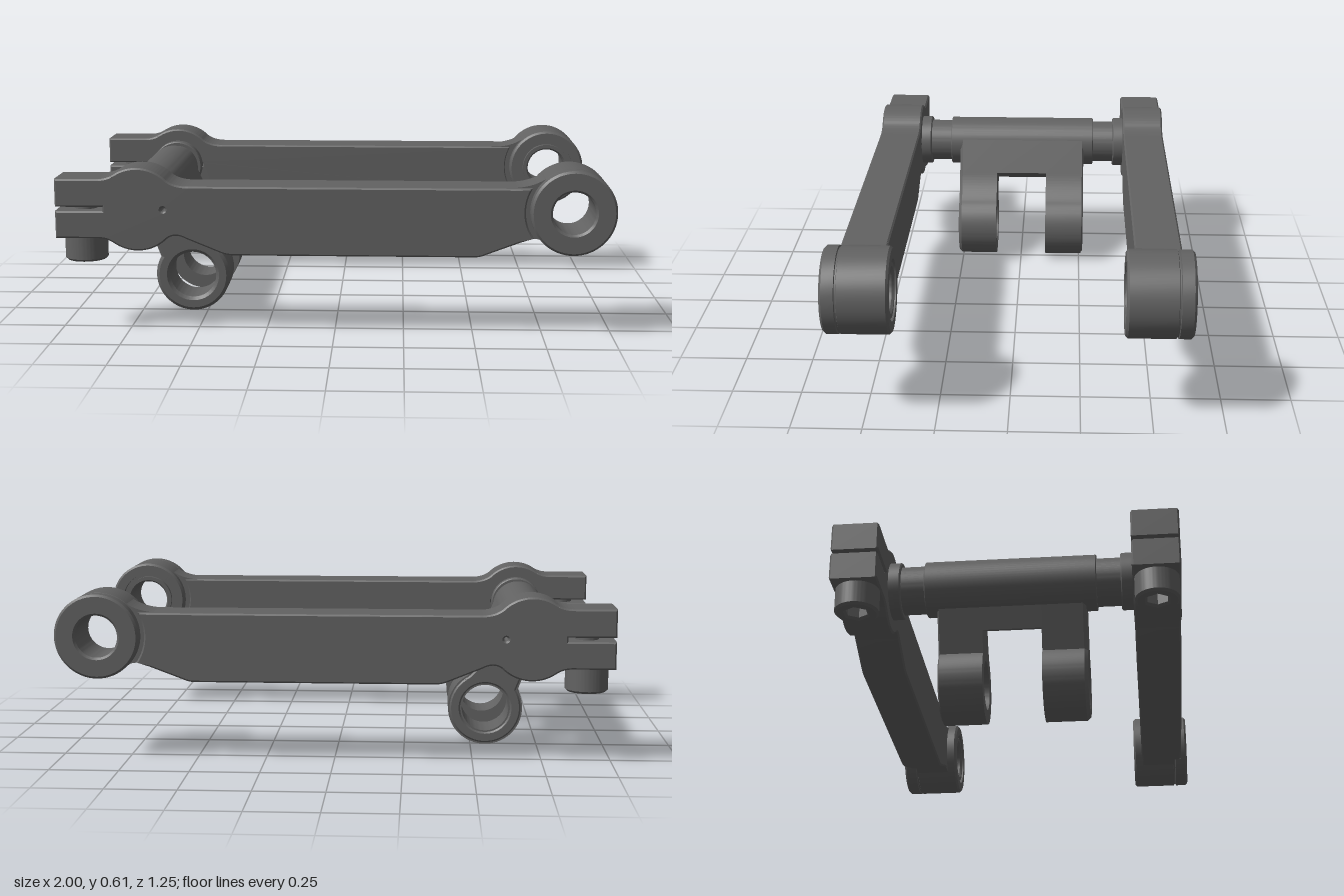
import * as THREE from 'three';
import { toCreasedNormals } from 'three/addons/utils/BufferGeometryUtils.js';

const material = new THREE.MeshStandardMaterial({ color: 0x626262 });
const rad = THREE.MathUtils.degToRad;

function part(name, geometry) {
  const mesh = new THREE.Mesh(toCreasedNormals(geometry, 0.35), material);
  mesh.name = name;
  return mesh;
}

// Plate with an xy outline, filling z0..z1 including its bevel
function plate(shape, z0, z1, bevel = 0) {
  const g = new THREE.ExtrudeGeometry(shape, {
    depth: z1 - z0 - 2 * bevel, curveSegments: 40, bevelEnabled: bevel > 0,
    bevelSize: bevel, bevelThickness: bevel, bevelOffset: -bevel, bevelSegments: 1,
  });
  return g.translate(0, 0, z0 + bevel);
}

// Turned part around a z axis; points are [radius, distance towards side s]
function turned(points, x, y, s = 1) {
  const g = new THREE.LatheGeometry(points.map(([r, d]) => new THREE.Vector2(r, d)), 64);
  return g.rotateX(s * Math.PI / 2).translate(x, y, 0);
}

// Hole for a clockwise outline
function hole(x, y, r) {
  return new THREE.Path().absarc(x, y, r, 0, Math.PI * 2, false);
}

const PX = -0.705, PY = 0.456; // pivot shaft axis
const EX = 0.847, EY = 0.457;  // end bushing axis
const ARM_Z = 0.515;           // arm centre plane

// Arm with split clamp, pivot boss and a hollow end seating the bushing
function armShape() {
  const s = new THREE.Shape();
  s.moveTo(-1, 0.464);
  s.lineTo(-1, 0.565);
  s.lineTo(-0.85, 0.565);
  s.quadraticCurveTo(-0.815, 0.565, -0.791, 0.579);
  s.absarc(PX, PY, 0.15, rad(125), rad(45), true);
  s.quadraticCurveTo(-0.57, 0.54, -0.52, 0.54);
  s.lineTo(0.66, 0.54);
  s.absarc(EX, EY, 0.168, rad(150.4), rad(215), false);
  s.lineTo(0.66, 0.345);
  s.lineTo(0.54, 0.3);
  s.quadraticCurveTo(0.52, 0.291, 0.5, 0.291);
  s.lineTo(-0.36, 0.291);
  s.quadraticCurveTo(-0.385, 0.291, -0.41, 0.301);
  s.lineTo(-0.53, 0.35);
  s.quadraticCurveTo(-0.57, 0.372, -0.599, 0.35);
  s.absarc(PX, PY, 0.15, rad(-45), rad(-125), true);
  s.quadraticCurveTo(-0.815, 0.35, -0.85, 0.35);
  s.lineTo(-1, 0.35);
  s.lineTo(-1, 0.449);
  s.lineTo(-0.83, 0.449);
  s.lineTo(-0.83, 0.464);
  s.holes.push(hole(-0.612, PY, 0.008));
  return s;
}

// Neck flaring into the bushing
function neckShape() {
  const s = new THREE.Shape();
  s.moveTo(0.62, 0.336);
  s.lineTo(0.62, 0.539);
  s.quadraticCurveTo(0.7, 0.538, 0.752, 0.574);
  s.lineTo(0.752, 0.343);
  s.quadraticCurveTo(0.72, 0.366, 0.66, 0.347);
  return s;
}

function clampBolt(z) {
  const bolt = new THREE.Group();
  bolt.name = 'clampBolt';
  const head = new THREE.Shape().absarc(0, 0, 0.077, 0, Math.PI * 2);
  const socket = new THREE.Path();
  for (let i = 0; i < 6; i++) {
    const a = -i * Math.PI / 3;
    socket[i ? 'lineTo' : 'moveTo'](0.04 * Math.cos(a), 0.04 * Math.sin(a));
  }
  socket.closePath();
  head.holes.push(socket);
  bolt.add(part('boltHead', plate(head, 0, 0.097, 0.008).rotateX(Math.PI / 2).translate(-0.905, 0.358, z)));
  bolt.add(part('socketFloor', new THREE.CylinderGeometry(0.06, 0.06, 0.03, 32).translate(-0.905, 0.335, z)));
  bolt.add(part('boltShank', new THREE.CylinderGeometry(0.042, 0.042, 0.18, 32).translate(-0.903, 0.43, z)));
  return bolt;
}

function armSide(s) {
  const side = new THREE.Group();
  side.name = s > 0 ? 'frontArm' : 'backArm';
  const z = s * ARM_Z;
  side.add(part('armBar', plate(armShape(), z - 0.083, z + 0.083, 0.006)));

  // Neck stops short of the outer face, behind the bushing flange
  const za = s * 0.436, zb = s * 0.57;
  side.add(part('neck', plate(neckShape(), Math.min(za, zb), Math.max(za, zb))));

  // Bushing sleeve with a groove near its outer flange and an inner race
  side.add(part('endBushing', turned([
    [0.108, 0.42], [0.108, 0.396], [0.144, 0.396], [0.152, 0.404], [0.152, 0.568],
    [0.146, 0.570], [0.146, 0.575], [0.152, 0.577], [0.152, 0.619], [0.144, 0.627],
    [0.084, 0.627], [0.076, 0.619], [0.076, 0.408], [0.082, 0.400],
    [0.096, 0.400], [0.096, 0.42], [0.108, 0.42],
  ], EX, EY, s)));

  // Shoulder collar between the arm and the pivot shaft
  side.add(part('shaftCollar', turned([
    [0, 0.39], [0.098, 0.39], [0.102, 0.394], [0.102, 0.45], [0, 0.45],
  ], PX, PY, s)));
  side.add(clampBolt(z));
  return side;
}

// Cross tube carrying a forked lug with two eyes
function fork() {
  const g = new THREE.Group();
  g.name = 'fork';
  g.add(part('crossTube', turned([
    [0, -0.305], [0.097, -0.305], [0.1, -0.302], [0.1, 0.302], [0.097, 0.305], [0, 0.305],
  ], PX, PY)));

  // Lug front face runs tangent to the tube
  const cx = -0.555, cy = 0.14;
  const lug = new THREE.Shape();
  lug.moveTo(-0.755, 0.41);
  lug.lineTo(PX, PY);
  lug.lineTo(-0.615, 0.499);
  lug.lineTo(-0.555, 0.36);
  lug.quadraticCurveTo(-0.53, 0.3, -0.485, 0.261);
  lug.absarc(cx, cy, 0.14, rad(60), rad(-210), true);
  lug.holes.push(hole(cx, cy, 0.088));

  // Each lug has a square inner edge and a bevelled outer edge
  for (const s of [-1, 1]) {
    const inner = s * 0.182, outer = s * 0.195;
    g.add(part('lugInner', plate(lug, inner - 0.077, inner + 0.077 - 0.012 * (s > 0), 0)));
    g.add(part('lugOuter', plate(lug, outer - 0.07, outer + 0.07, 0.012)));
  }

  const web = new THREE.Shape([
    [PX, PY], [-0.615, 0.499], [-0.555, 0.36], [-0.706, 0.285], [-0.755, 0.41],
  ].map(([x, y]) => new THREE.Vector2(x, y)));
  g.add(part('forkWeb', plate(web, -0.106, 0.106)));
  return g;
}

export function createModel() {
  const model = new THREE.Group();
  model.name = 'linkageArm';
  model.add(armSide(1), armSide(-1), fork());
  model.add(part('pivotShaft', turned([
    [0, -0.45], [0.086, -0.45], [0.086, 0.45], [0, 0.45],
  ], PX, PY)));
  return model;
}
